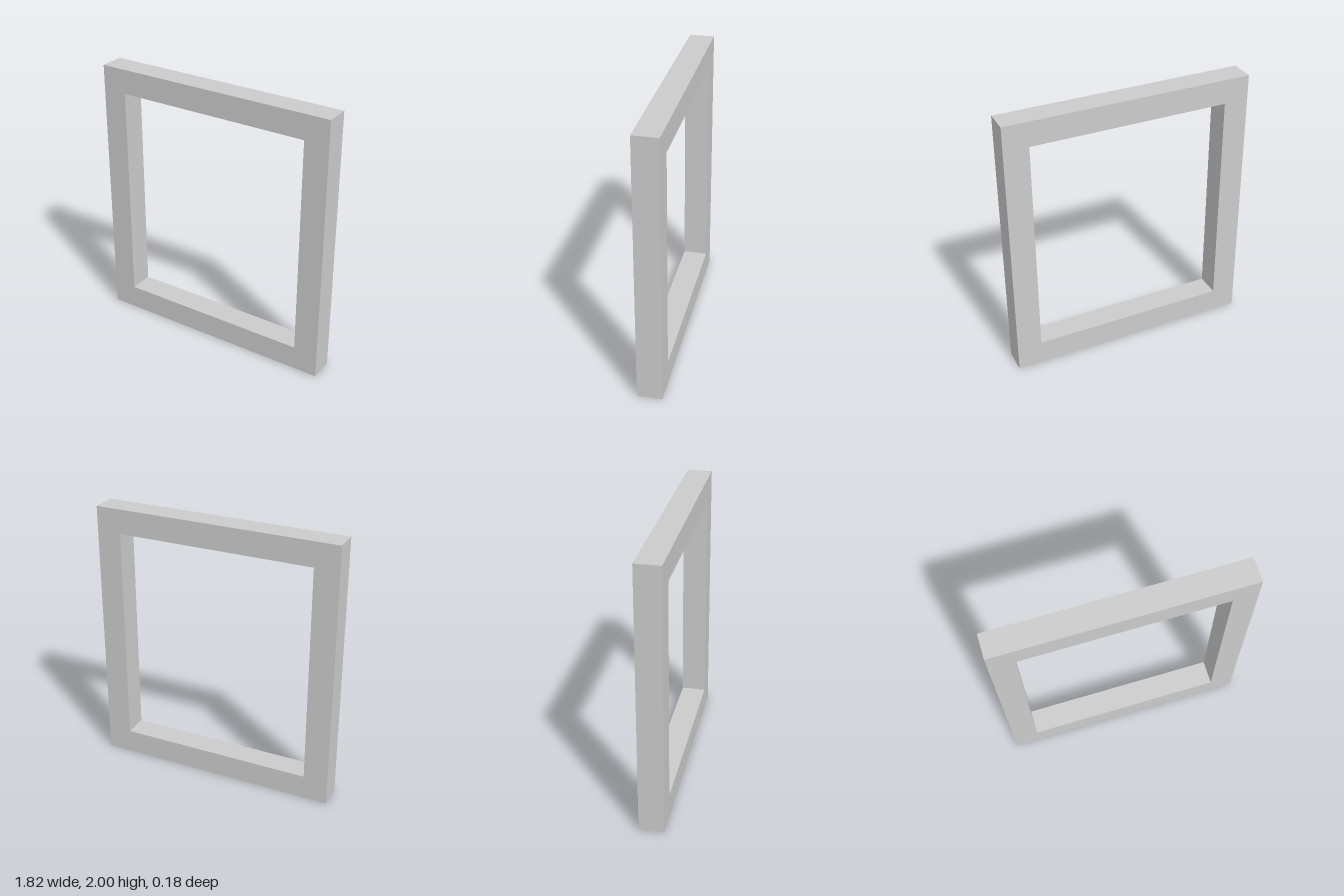
import * as THREE from 'three';

const BAR = 2 / 11; // bar width and frame depth
const WIDTH = 10 * BAR;
const HEIGHT = 11 * BAR;

// Corner points of a rectangle centred on x = 0, inset from the outer edge
function rectangle(inset) {
  const x = WIDTH / 2 - inset;
  const bottom = inset;
  const top = HEIGHT - inset;
  return [[-x, bottom], [x, bottom], [x, top], [-x, top]].map(([px, py]) => new THREE.Vector2(px, py));
}

export function createModel() {
  const group = new THREE.Group();
  group.name = 'openFrame';

  // Square-section rectangular frame with an open middle
  const outline = new THREE.Shape(rectangle(0));
  outline.holes.push(new THREE.Path(rectangle(BAR)));
  const geometry = new THREE.ExtrudeGeometry(outline, { depth: BAR, bevelEnabled: false });
  geometry.translate(0, 0, -BAR / 2);

  const frame = new THREE.Mesh(geometry, new THREE.MeshStandardMaterial({ color: 0xcccccc, flatShading: true }));
  frame.name = 'frame';
  group.add(frame);
  return group;
}
